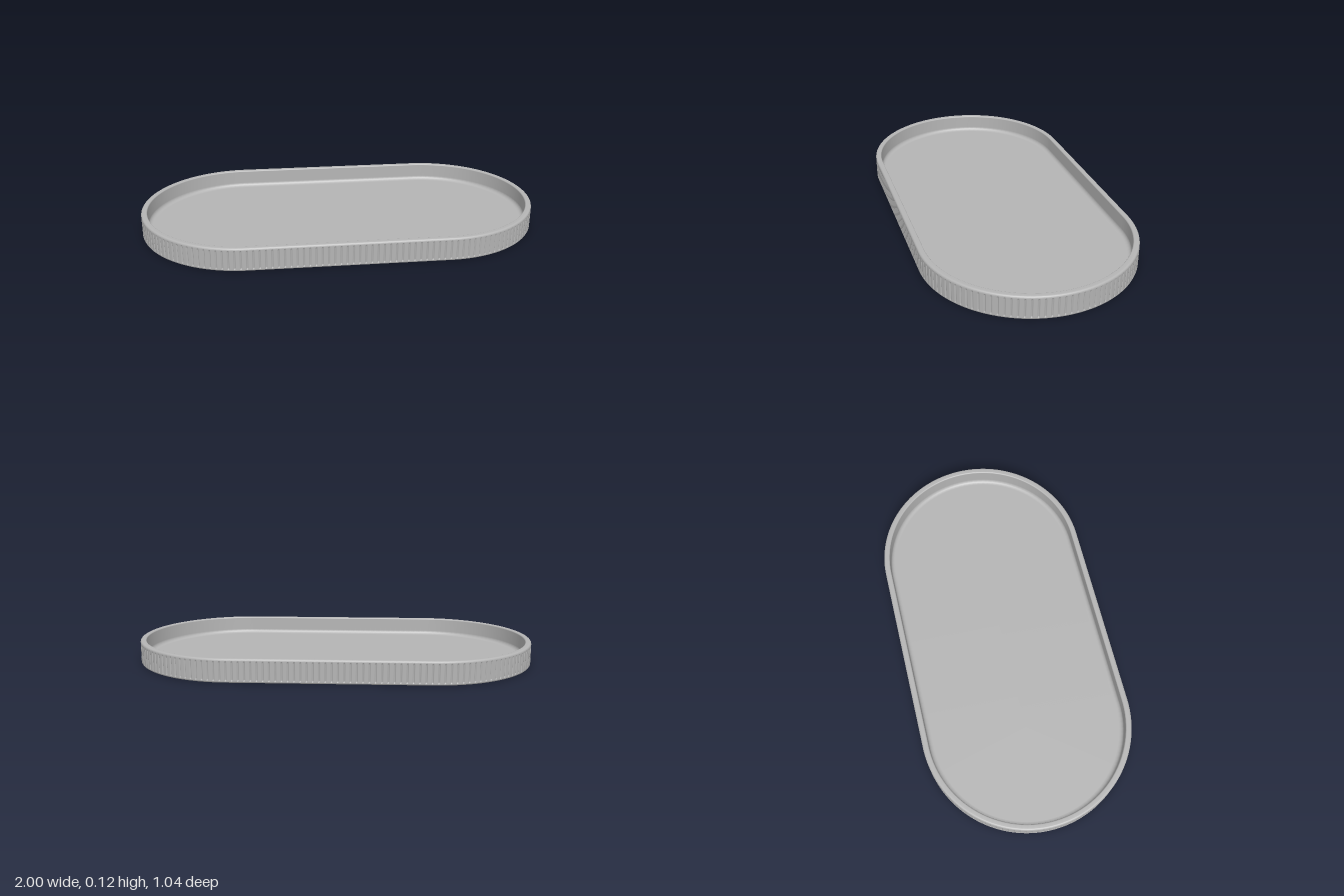
import * as THREE from 'three';

const R = 0.522;          // radius of the round ends
const S = 1 - R;          // half length of the straight sides
const H = 0.115;          // overall height
const FLUTES = 180;       // grooves around the outside
const GROOVE = 0.005;     // groove depth

// Point on the oblong outline at arc length d, with its outward direction
function outline(d) {
  const arc = Math.PI * R, line = 2 * S;
  let a, cx;
  if (d < arc) { a = -Math.PI / 2 + d / R; cx = S; }
  else if (d < arc + line) { a = Math.PI / 2; cx = S - (d - arc); }
  else if (d < 2 * arc + line) { a = Math.PI / 2 + (d - arc - line) / R; cx = -S; }
  else { a = -Math.PI / 2; cx = -S + (d - 2 * arc - line); }
  return { cx, nx: Math.cos(a), nz: Math.sin(a) };
}

// Cross-section rows: [inset from the outer edge, height, groove strength]
function crossSection() {
  const rows = [[R, 0, 0], [0.009, 0, 0], [0.006, 0, 0], [0.002, 0.002, 0], [0, 0.006, 0],
    [0, 0.009, 0], [0, 0.012, 0.7], [0, 0.016, 1], [0, 0.094, 1], [0, 0.099, 0.7], [0, 0.103, 0]];
  const bend = (inset, y, r, from, to, n) => {
    for (let i = 0; i <= n; i++) {
      const a = from + (to - from) * i / n;
      rows.push([inset - r * Math.cos(a), y + r * Math.sin(a), 0]);
    }
  };
  bend(0.01, H - 0.01, 0.01, 0, Math.PI / 2, 4);                 // outer rim edge
  bend(0.024, H - 0.006, 0.006, Math.PI / 2, Math.PI, 3);        // inner rim edge
  bend(0.05, 0.045, 0.02, 0, -Math.PI / 2, 5);                   // fillet to the floor
  rows.push([0.053, 0.025, 0], [R, 0.025, 0]);
  return rows;
}

// Sweep the cross-section around the outline, cutting the grooves as it goes
function trayGeometry() {
  const steps = [[0, 1], [0.08, 0.7], [0.16, 0], [0.22, 0], [0.5, 0], [0.78, 0], [0.84, 0], [0.92, 0.7]];
  const rows = crossSection(), n = rows.length, cols = FLUTES * steps.length;
  const pitch = (2 * Math.PI * R + 4 * S) / FLUTES;
  const pos = [], index = [];
  for (let f = 0; f < FLUTES; f++) {
    for (const [t, cut] of steps) {
      const { cx, nx, nz } = outline((f + t) * pitch);
      for (const [inset, y, strength] of rows) {
        const r = R - inset - GROOVE * cut * strength;
        pos.push(cx + nx * r, y, nz * r);
      }
    }
  }
  for (let c = 0; c < cols; c++) {
    for (let i = 0; i < n - 1; i++) {
      const a = c * n + i, b = ((c + 1) % cols) * n + i;
      index.push(a, a + 1, b, a + 1, b + 1, b);
    }
  }
  const g = new THREE.BufferGeometry();
  g.setAttribute('position', new THREE.Float32BufferAttribute(pos, 3));
  g.setIndex(index);
  g.computeVertexNormals();
  // Keep the floor and the underside exactly flat
  const nor = g.attributes.normal;
  for (let c = 0; c < cols; c++) {
    for (const i of [0, 1]) nor.setXYZ(c * n + i, 0, -1, 0);
    for (const i of [n - 2, n - 1]) nor.setXYZ(c * n + i, 0, 1, 0);
  }
  return g;
}

export function createModel() {
  const grey = new THREE.MeshStandardMaterial({ color: 0xb4b4b4 });
  grey.name = 'grey';
  const tray = new THREE.Mesh(trayGeometry(), grey);
  tray.name = 'flutedTray';
  const group = new THREE.Group();
  group.name = 'ovalTray';
  group.add(tray);
  return group;
}
